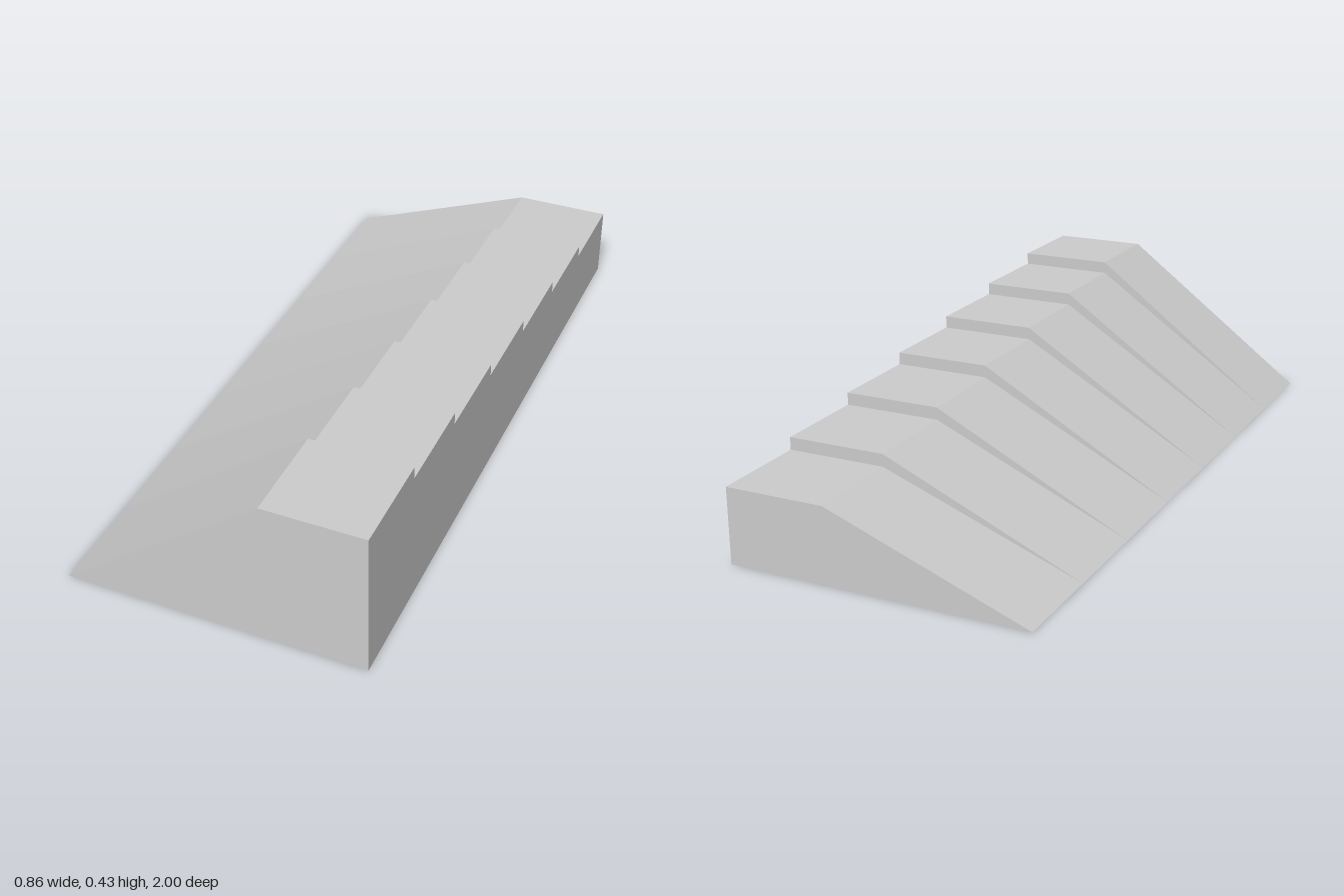
import * as THREE from 'three';

const STEPS = 7;
const DEPTH = 2 / STEPS;      // length of one step along z
const HALF_WIDTH = 3 / 7;
const RIDGE_X = 1 / 7;        // where the slope meets the flat top
const LOW = 1.5 / 7;          // height of the back step
const HIGH = 3 / 7;           // height of the front step

// Cross-section: long slope on the right, flat top, upright wall on the left
function profile(height) {
  return new THREE.Shape([
    new THREE.Vector2(-HALF_WIDTH, 0),
    new THREE.Vector2(HALF_WIDTH, 0),
    new THREE.Vector2(HALF_WIDTH, height),
    new THREE.Vector2(RIDGE_X, height),
  ]);
}

export function createModel() {
  const group = new THREE.Group();
  group.name = 'steppedRamp';
  const material = new THREE.MeshStandardMaterial({ color: 0xcccccc, flatShading: true });

  // Steps rise evenly from the back to the front
  for (let i = 0; i < STEPS; i++) {
    const height = THREE.MathUtils.lerp(LOW, HIGH, i / (STEPS - 1));
    const geometry = new THREE.ExtrudeGeometry(profile(height), { depth: DEPTH, bevelEnabled: false });
    const step = new THREE.Mesh(geometry, material);
    step.name = `step${i + 1}`;
    step.position.z = -1 + i * DEPTH;
    group.add(step);
  }
  return group;
}
